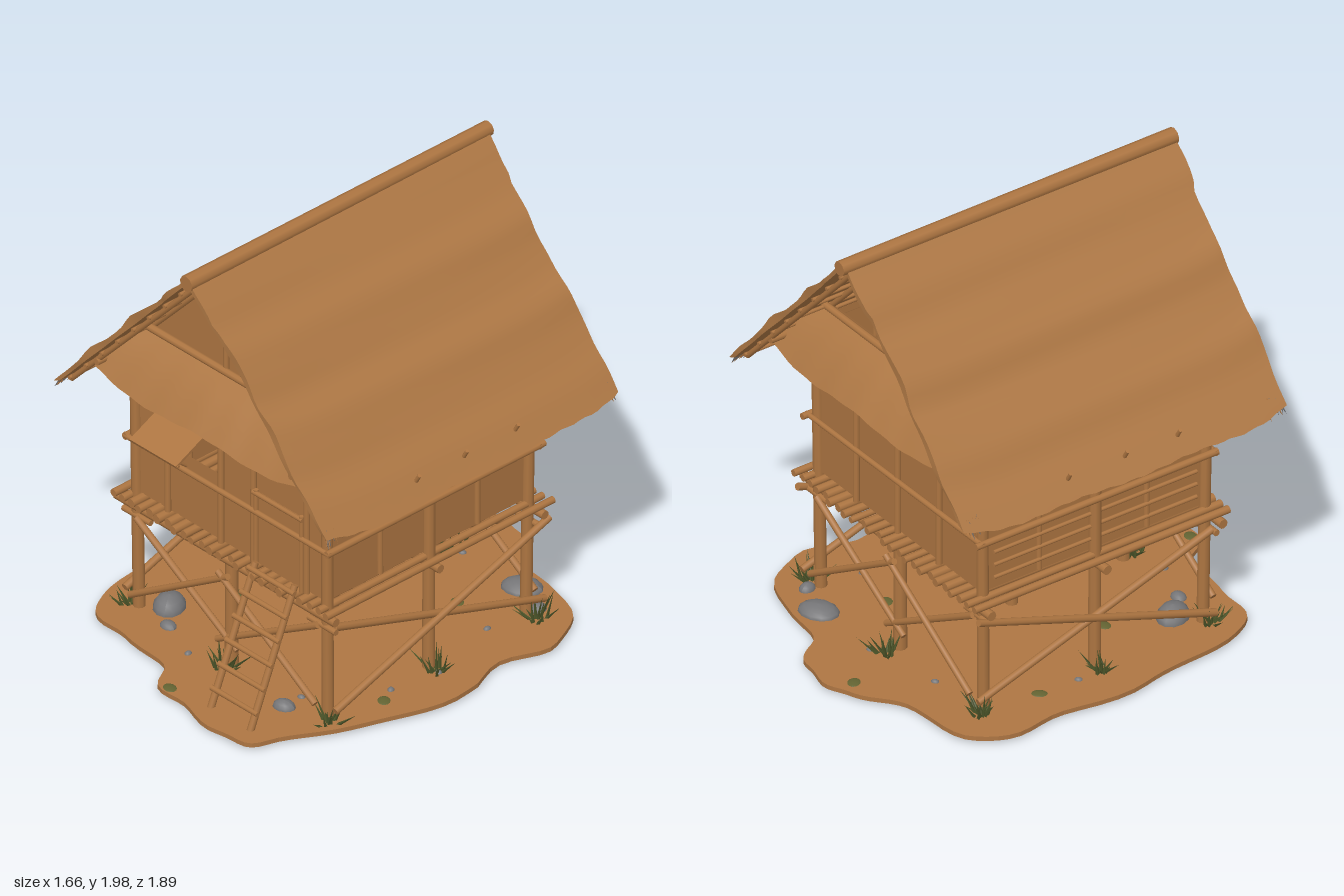
import * as THREE from 'three';

const mat = (name, color, side = THREE.FrontSide) => {
  const m = new THREE.MeshStandardMaterial({ color, side });
  m.name = name;
  return m;
};

export function createModel() {
  const root = new THREE.Group();
  root.name = 'stiltHut';
  const wood = mat('wood', 0xad7541);
  const thatch = mat('thatch', 0xad7744, THREE.DoubleSide);
  const wallMat = mat('wovenWall', 0xad7541, THREE.DoubleSide);
  const soil = mat('soil', 0xae7643);
  const leaf = mat('grass', 0x525c2d, THREE.DoubleSide);
  const mossMat = mat('moss', 0x636332);
  const stone = mat('stone', 0x767678);
  const greyStraw = mat('weatheredStraw', 0x6e6e70);

  let seed = 7;
  const rnd = () => (seed = (seed * 16807) % 2147483647) / 2147483647;
  const V = (x, y, z) => new THREE.Vector3(x, y, z);

  const add = (name, geo, material, parent = root) => {
    const m = new THREE.Mesh(geo, material);
    m.name = name;
    parent.add(m);
    return m;
  };
  const group = (name) => {
    const g = new THREE.Group();
    g.name = name;
    root.add(g);
    return g;
  };
  const shape = (pts) => new THREE.Shape(pts.map(p => new THREE.Vector2(...p)));
  // Round pole between two points, slightly tapered
  const pole = (name, a, b, r, parent = root) => {
    const p = V(...a), q = V(...b), d = q.clone().sub(p);
    const m = add(name, new THREE.CylinderGeometry(r * 0.92, r, d.length(), 9), wood, parent);
    m.position.copy(p).add(q).multiplyScalar(0.5);
    m.quaternion.setFromUnitVectors(V(0, 1, 0), d.normalize());
    return m;
  };
  // Surface from a rule f(u, v) with u and v in 0..1
  const sheet = (name, nu, nv, f, material, parent = root) => {
    const g = new THREE.PlaneGeometry(1, 1, nu, nv), p = g.attributes.position;
    for (let i = 0; i < p.count; i++) p.setXYZ(i, ...f(p.getX(i) + 0.5, 0.5 - p.getY(i)));
    g.computeVertexNormals();
    return add(name, g, material, parent);
  };
  // Flattened dome resting on the ground
  const dome = (name, x, z, r, h, material, parent) => {
    const g = new THREE.SphereGeometry(1, 12, 8), p = g.attributes.position;
    for (let i = 0; i < p.count; i++) p.setXYZ(i, p.getX(i) * r, p.getY(i) > 0 ? p.getY(i) * h : p.getY(i) * 0.028, p.getZ(i) * r * 0.8);
    g.computeVertexNormals();
    const m = add(name, g, material, parent);
    m.position.set(x, 0.035, z);
    m.rotation.y = x * 9;
  };

  // Ground patch with a rippled rim
  const rim = [[.8, 0], [.76, .3], [.65, .56], [.54, .8], [.46, .92], [.3, .94], [.1, .91], [-.08, .88],
    [-.18, .77], [-.42, .74], [-.6, .72], [-.72, .6], [-.75, .3], [-.8, .05], [-.77, -.3], [-.78, -.54], [-.7, -.72], [-.45, -.76],
    [-.28, -.82], [-.15, -.92], [-.03, -.95], [.1, -.94], [.2, -.88], [.28, -.78], [.5, -.76], [.7, -.66], [.8, -.48], [.74, -.25]];
  const curve = new THREE.CatmullRomCurve3(rim.map(([x, z]) => V(x, -z, 0)), true);
  const patch = shape(curve.getPoints(120).slice(0, 120).map((p, i) => {
    const k = 0.99 + 0.01 * Math.sin(i * 0.9);
    return [p.x * k, p.y * k];
  }));
  const ground = add('ground', new THREE.ExtrudeGeometry(patch, { depth: 0.02, bevelEnabled: false }), soil);
  ground.rotation.x = -Math.PI / 2;
  ground.position.y = 0.018;

  // Stones and moss
  const stones = group('stones');
  const rocks = [[-.46, .46, .085, .062], [-.36, .56, .04, .025], [.4, -.66, .09, .04], [.56, -.6, .04, .03], [.38, .62, .05, .035]];
  for (let i = 0; i < 9; i++) {
    const a = i * 2.4;
    rocks.push([Math.cos(a) * 0.62, Math.sin(a) * 0.66, 0.018, 0.014]);
  }
  for (const [x, z, r, h] of rocks) dome('stone', x, z, r, h, stone, stones);
  for (const [x, z] of [[-.03, .86], [-.1, -.85], [.62, .3], [-.6, -.3], [.3, -.4], [-.35, .2]])
    dome('moss', x, z, .036, .008, mossMat, stones);

  // Grass tufts around the stilts
  const tufts = group('grassTufts');
  for (const [x, z] of [[-.58, .56], [0, .6], [.58, .57], [.6, 0], [.6, -.55], [0, -.62], [-.58, -.57], [-.61, 0]])
    for (let i = 0; i < 18; i++) {
      const h = 0.06 + rnd() * 0.07, blade = new THREE.ConeGeometry(0.009, h, 3);
      blade.translate(0, h / 2, 0);
      const m = add('blade', blade, leaf, tufts);
      const a = rnd() * 6.28, d = rnd() * 0.04;
      m.position.set(x + Math.cos(a) * d, 0.03, z + Math.sin(a) * d);
      m.rotation.set(Math.sin(a) * rnd(), 0, -Math.cos(a) * rnd());
    }

  // Stilts, corner posts and middle posts
  const frame = group('frame');
  for (const s of [-1, 1]) {
    for (const t of [-1, 1]) pole('cornerPost', [s * .55, .02, t * .54], [s * .56, 1.29, t * .555], .026, frame);
    pole('middleStilt', [0, .02, s * .55], [0, .56, s * .55], .029, frame);
    pole('sideStilt', [s * .56, .02, 0], [s * .565, 1.29, 0], .027, frame);
    for (const z of [.26, -.27]) pole('sideStud', [s * .555, .6, z], [s * .555, 1.3, z], .013, frame);
    // Rails around the walls and wall plates
    pole('endRail', [-.6, .845, s * .575], [.6, .845, s * .575], .013, frame);
    pole('sideRail', [s * .588, .845, .585], [s * .588, .845, -.605], .016, frame);
    pole('wallPlate', [s * .565, 1.29, -.78], [s * .565, 1.29, .76], .016, frame);
    // Braces
    pole('sideBrace', [s * .597, .49, .55], [s * .597, .11, -.6], .017, frame);
    pole('sideBrace', [s * .613, .1, .56], [s * .613, .5, -.61], .017, frame);
    for (const t of [-1, 1]) {
      pole('endBrace', [s * .53, .48, t * .575], [s * -.06, .13, t * .575], .015, frame);
      pole('endBrace', [s * .54, .12, t * .6], [s * -.03, .48, t * .6], .015, frame);
      pole('braceEnd', [s * .62, .48, t * .56], [s * .46, .48, t * .56], .014, frame);
    }
  }
  pole('centreStilt', [0, .02, 0], [0, .55, 0], .026, frame);

  // Deck of round slats on beams
  const deck = group('deck');
  for (const z of [.57, 0, -.57]) pole('deckBeam', [-.65, .535, z], [.63, .535, z], .021, deck);
  for (let i = 0; i < 25; i++) {
    const x = -.62 + i * .0513, e = rnd() * .03;
    pole('deckSlat', [x, .573, .6 + e], [x, .573, -.62 - e], .015 + rnd() * .006, deck);
  }

  // End walls: the front one fills its gable and has a window opening, the back gable is open
  const walls = group('walls');
  for (const s of [-1, 1]) {
    const w = shape(s > 0 ? [[-.55, .59], [.55, .59], [.55, 1.32], [0, 1.91], [-.55, 1.32]]
      : [[-.55, .59], [.55, .59], [.55, 1.32], [.45, 1.43], [-.45, 1.43], [-.55, 1.32]]);
    if (s > 0) w.holes.push(shape([[-.34, .9], [-.34, 1.13], [-.07, 1.13], [-.07, .9]]));
    add('endWall', new THREE.ShapeGeometry(w), wallMat, walls).position.z = s * .55;
    const side = add('sideWall', new THREE.PlaneGeometry(1.1, .73), wallMat, walls);
    side.rotation.y = s * Math.PI / 2;
    side.position.set(s * .55, .955, 0);
    const studs = s > 0 ? [-.36, -.05, .14, .45] : [-.28, 0, .28];
    for (const x of studs) pole('wallStud', [x, .59, s * .562], [x, 1.42, s * .562], .014, walls);
    // Gable frame
    pole('tieBeam', [-.465, 1.445, s * .59], [.465, 1.445, s * .59], .017, walls);
    pole('kingPost', [0, 1.44, s * .58], [0, 1.93, s * .58], .013, walls);
    // Thatched apron below the gable
    sheet('gableApron', 30, 6, (u, v) => {
      const k = u * 2 - 1, hem = v * (.012 * Math.sin(u * 11 + 2) + .003 * Math.sin(u * 41) + .015 * k ** 8);
      return [k * (.49 + .11 * Math.min(1, v * 1.2)), 1.43 - v * .205 + hem + .02 * Math.sin(v * 3.14), s * (.59 + .18 * v - .03 * k * k * v)];
    }, thatch, walls);
  }
  for (let i = 0; i < 3; i++) pole('sideBatten', [-.565, .65 + i * .06, .5], [-.565, .65 + i * .06, -.5], .009, walls);

  // Window with raised shutter and prop
  const win = group('window');
  pole('windowHead', [-.38, 1.15, .575], [-.04, 1.15, .575], .013, win);
  const flap = add('shutter', new THREE.BoxGeometry(.27, .012, .23), wallMat, win);
  flap.position.set(-.215, 1.08, .675);
  flap.rotation.x = .45;
  pole('shutterEdge', [-.355, 1.03, .77], [-.075, 1.03, .77], .007, win);
  pole('shutterProp', [-.25, 1.03, .765], [-.25, .86, .565], .007, win);

  // Door
  const door = group('door');
  add('doorPanel', new THREE.BoxGeometry(.28, .33, .012), wallMat, door).position.set(.295, .765, .56);
  pole('doorHead', [.15, .935, .575], [.44, .935, .575], .011, door);
  for (const x of [.165, .43]) pole('doorPost', [x, .59, .572], [x, .95, .572], .011, door);

  // Ladder
  const ladder = group('ladder');
  for (const x of [.18, .41]) pole('ladderRail', [x, .015, .84], [x, .62, .59], .016, ladder);
  for (let i = 0; i < 6; i++) {
    const y = .11 + i * .097, z = .84 - (y - .015) * .413;
    pole('rung', [.16, y, z + .01], [.43, y, z + .01], .012, ladder);
  }

  // Roof: rafters, battens and thatch on each slope
  const roof = group('roof');
  for (const s of [-1, 1]) {
    for (const z of [.74, .57, .26, 0, -.27, -.57, -.77])
      pole('rafter', [0, 1.915, z], [s * .73, 1.125, z], .013, roof);
    for (let i = 0; i < 8; i++) {
      const x = .08 + i * .092;
      pole('batten', [s * x, 1.935 - 1.1 * x, .76], [s * x, 1.935 - 1.1 * x, -.79], .009, roof);
    }
    for (const z of [.26, 0, -.28]) pole('roofPeg', [s * .765, 1.14, z], [s * .785, 1.175, z], .009, roof);
    // Thatch point: u along the ridge, v down the slope, w from the outer to the inner face
    const straw = (u, v, w) => {
      const k = u * 2 - 1, fray = .004 * Math.sin(u * 17 + s) + .002 * Math.sin(u * 83);
      const x = v * (.825 - .035 * w - .03 * k ** 6 + fray * v ** 8);
      const end = .795 + .004 * Math.sin(v * 9 + 1) + .003 * Math.sin(v * 27 + s) + (v < .2 ? .012 : 0);
      const bump = (1 - w) * (.012 + .01 * Math.sin(v * 21 + s) + .003 * Math.sin(v * 43 + u * 2)) * Math.sin(v * 3.14);
      return [s * (x + bump * .74), 1.975 - .022 * w - 1.1 * x + bump * .67, k * end - .018];
    };
    sheet('outerThatch', 48, 28, (u, v) => straw(u, v, 0), thatch, roof);
    sheet('innerThatch', 48, 28, (u, v) => straw(u, v, 1), thatch, roof);
    sheet('eaveEdge', 48, 1, (u, w) => straw(u, 1, w), thatch, roof);
    for (const u of [0, 1]) sheet('vergeEdge', 1, 28, (w, v) => straw(u, v, w), thatch, roof);
    // Loose straw hanging from the eave corners, some of it weathered grey
    for (const t of [-1, 1])
      for (let i = 0; i < 10; i++) {
        const tip = add('looseStraw', new THREE.ConeGeometry(.01, .075, 4), i % 3 ? wood : greyStraw, roof);
        const x = .768 + rnd() * .02;
        tip.position.set(s * x, 1.955 - 1.1 * x, t * (.71 + rnd() * .075) - .018);
        tip.quaternion.setFromUnitVectors(V(0, 1, 0), V(s * .5, -.85, t * (rnd() - .3) * .7).normalize());
      }
  }
  pole('ridgePole', [0, 1.955, .8], [0, 1.955, -.85], .036, roof);
  pole('ridgeBeam', [0, 1.91, .76], [0, 1.91, -.78], .016, roof);

  return root;
}
